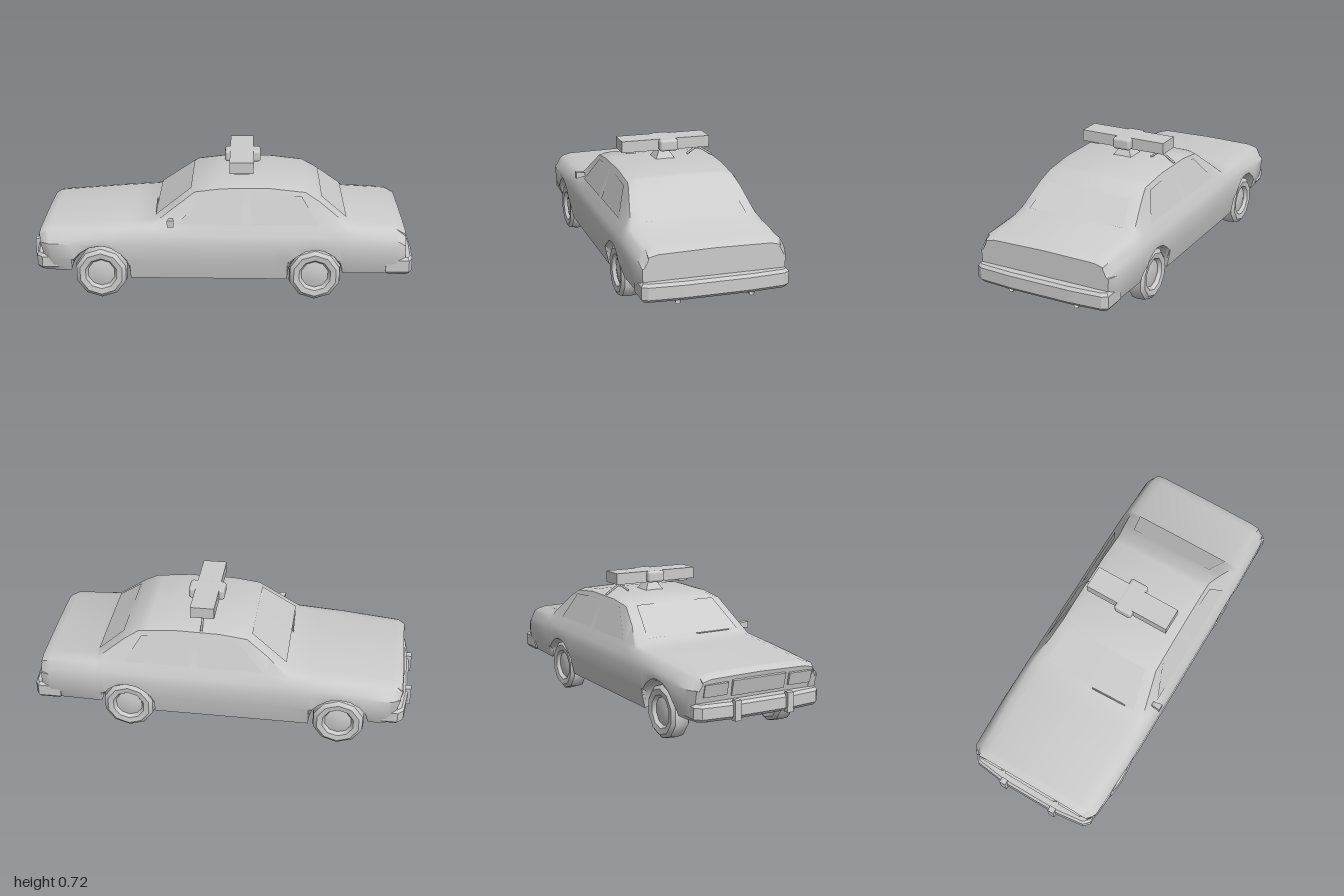
import * as THREE from 'three';
import { toCreasedNormals } from 'three/addons/utils/BufferGeometryUtils.js';
import { RoundedBoxGeometry } from 'three/addons/geometries/RoundedBoxGeometry.js';

const grey = new THREE.MeshStandardMaterial({ color: 0xcccccc, side: THREE.DoubleSide });
const WHEELS = [-0.63, 0.485], ARCHES = [0.154, 0.143], AXLE_Y = 0.143;

// Piecewise-linear profiles along the length of the car (nose at -x)
const ROOF = [[-0.95, 0.37], [-0.92, 0.39], [-0.6, 0.414], [-0.36, 0.43], [-0.14, 0.592], [0, 0.61],
  [0.25, 0.612], [0.43, 0.592], [0.5, 0.55], [0.66, 0.425], [0.9, 0.413], [0.95, 0.385]];
const EDGE = [[-0.95, 0.315], [-0.6, 0.325], [-0.36, 0.33], [-0.14, 0.282], [0.43, 0.278], [0.66, 0.33], [0.95, 0.328]];
const WIDTH = [[-0.95, 0.345], [-0.9, 0.37], [-0.6, 0.383], [0.6, 0.383], [0.9, 0.375], [0.95, 0.357]];

function lerpAt(table, x) {
  for (let i = 1; i < table.length; i++) {
    const [x0, v0] = table[i - 1], [x1, v1] = table[i];
    if (x <= x1) return v0 + (v1 - v0) * Math.max(0, (x - x0) / (x1 - x0));
  }
  return table[table.length - 1][1];
}

function mesh(name, geo, x = 0, y = 0, z = 0) {
  const m = new THREE.Mesh(geo, grey);
  m.name = name;
  m.position.set(x, y, z);
  return m;
}
const box = (name, w, h, d, x, y, z) => mesh(name, new THREE.BoxGeometry(w, h, d), x, y, z);

// Skins closed rings of [x, y, z] points and caps both ends
function loft(rings, crease) {
  const n = rings[0].length, index = [];
  for (let i = 0; i < rings.length - 1; i++) {
    for (let j = 0; j < n; j++) {
      const a = i * n + j, b = i * n + (j + 1) % n;
      index.push(a, a + n, b, b, a + n, b + n);
    }
  }
  const last = (rings.length - 1) * n;
  for (let j = 1; j < n - 1; j++) index.push(0, j, j + 1, last, last + j + 1, last + j);
  const geo = new THREE.BufferGeometry();
  geo.setAttribute('position', new THREE.Float32BufferAttribute(rings.flat(2), 3));
  geo.setIndex(index);
  return toCreasedNormals(geo, crease);
}

// Lower edge and underside height, following the wheel arches
function underside(x) {
  for (let i = 0; i < 2; i++) {
    const d = Math.abs(x - WHEELS[i]), r = ARCHES[i];
    if (d < r) {
      const y = AXLE_Y + Math.sqrt(r * r - d * d);
      return [y, y + 0.005];
    }
  }
  if (x > WHEELS[0] && x < WHEELS[1]) return [0.123, 0.135];
  return Math.abs(x) > 0.94 ? [0.165, 0.165] : [0.16, 0.25];
}

function bodyRing(x) {
  const top = lerpAt(ROOF, x), edge = lerpAt(EDGE, x), w = lerpAt(WIDTH, x);
  const [yb, yf] = underside(x);
  const belt = Math.min(0.402, top - 0.028);
  const half = [
    [yf, w - 0.055], [yb, w - 0.026], [Math.max(0.23, yb + 0.01), w - 0.003], [0.315, w],
    [belt - 0.04, w - 0.01], [belt, w * 0.915], [top - 0.017, edge], [top - 0.005, edge * 0.85],
  ];
  // The nose face leans back below the hood lip
  const lean = Math.max(0, (-0.8 - x) / 0.15);
  const point = (y, z) => [x + lean * 0.25 * Math.max(0, 0.34 - y), y, z];
  const left = half.map(([y, z]) => point(y, z));
  const right = half.map(([y, z]) => point(y, -z)).reverse();
  return [...left, [x, top, 0], ...right];
}

function buildBody() {
  const xs = new Set([...ROOF, ...EDGE, ...WIDTH].map(p => p[0]));
  [-0.25, 0.1, 0.58].forEach(x => xs.add(x));
  WHEELS.forEach((cx, i) => {
    for (const k of [0, 0.37, 0.69, 0.9, 0.985, 1.012]) xs.add(cx - k * ARCHES[i]).add(cx + k * ARCHES[i]);
  });
  return mesh('body', loft([...xs].sort((a, b) => a - b).map(bodyRing), 0.75));
}

// Thin flat pane through four corners
function pane(name, corners) {
  const geo = new THREE.BufferGeometry();
  geo.setAttribute('position', new THREE.Float32BufferAttribute(corners.flat(), 3));
  geo.setIndex([0, 1, 2, 0, 2, 3]);
  geo.computeVertexNormals();
  return mesh(name, geo);
}

function buildWindows() {
  const g = new THREE.Group();
  g.name = 'windows';
  const sideZ = y => 0.354 - (y - 0.4) * 0.37;
  const sides = {
    frontDoorWindow: [[-0.23, 0.42], [0.11, 0.42], [0.11, 0.575], [-0.09, 0.565]],
    rearDoorWindow: [[0.15, 0.42], [0.5, 0.42], [0.41, 0.56], [0.15, 0.575]],
  };
  for (const s of [1, -1]) {
    for (const [name, pts] of Object.entries(sides)) {
      g.add(pane(name, pts.map(([x, y]) => [x, y, s * sideZ(y)])));
    }
    g.add(pane('windshield', [[-0.345, 0.446, 0], [-0.345, 0.443, s * 0.27], [-0.16, 0.58, s * 0.23], [-0.16, 0.582, 0]]));
    g.add(pane('rearWindow', [[0.645, 0.442, 0], [0.645, 0.439, s * 0.27], [0.515, 0.54, s * 0.235], [0.515, 0.543, 0]]));
  }
  return g;
}

function buildWheel(x, side) {
  const profile = [[0, -0.045], [0.08, -0.045], [0.115, -0.052], [0.135, -0.037], [0.14, 0], [0.135, 0.035],
    [0.115, 0.05], [0.085, 0.046], [0.072, 0.028], [0.035, 0.036], [0, 0.036]];
  const geo = new THREE.LatheGeometry(profile.map(p => new THREE.Vector2(...p)), 10);
  geo.rotateX(Math.PI / 2);
  const w = mesh(x < 0 ? 'frontWheel' : 'rearWheel', toCreasedNormals(geo, 0.75), x, AXLE_Y, side * 0.313);
  if (side < 0) w.rotation.y = Math.PI;
  return w;
}

// Bumper bar wrapping round the corners: outline in plan, extruded upwards
function bumper(name, end, outer, sweep, halfW, y, h) {
  const pts = [[0.85, halfW], [outer - sweep, halfW], [outer - sweep * 0.4, halfW * 0.92], [outer, halfW * 0.45]];
  const all = [...pts, ...pts.map(([x, z]) => [x, -z]).reverse()];
  const shape = new THREE.Shape(all.map(([x, z]) => new THREE.Vector2(end * x, z)));
  const geo = new THREE.ExtrudeGeometry(shape, {
    depth: h - 0.03, bevelEnabled: true, bevelSize: 0.012, bevelThickness: 0.015, bevelOffset: -0.012, bevelSegments: 1,
  });
  geo.rotateX(-Math.PI / 2);
  return mesh(name, geo, 0, y + 0.015, 0);
}

// Rod with straight runs between its points
function rod(name, points, r) {
  const path = new THREE.CurvePath();
  const pts = points.map(p => new THREE.Vector3(...p));
  for (let i = 1; i < pts.length; i++) path.add(new THREE.LineCurve3(pts[i - 1], pts[i]));
  return mesh(name, new THREE.TubeGeometry(path, 12, r, 6, false));
}

function buildLightBar() {
  const g = new THREE.Group();
  g.name = 'roofLightBar';
  g.add(box('lightBar', 0.125, 0.06, 0.475, 0.1, 0.688, -0.003));
  g.add(mesh('centreSpeaker', new RoundedBoxGeometry(0.19, 0.062, 0.1, 2, 0.015), 0.105, 0.688, -0.012));
  const stand = new THREE.CylinderGeometry(0.028, 0.075, 0.055, 4).rotateY(Math.PI / 4);
  g.add(mesh('stand', toCreasedNormals(stand, 0.5), 0.11, 0.634, 0));
  // Bracket under one end, splayed foot under the other
  g.add(box('bracket', 0.08, 0.014, 0.05, 0.1, 0.652, 0.18));
  g.add(rod('footStrut', [[0.1, 0.612, -0.14], [0.1, 0.65, -0.195], [0.1, 0.6, -0.275]], 0.006));
  return g;
}

export function createModel() {
  const car = new THREE.Group();
  car.name = 'car';
  car.add(buildBody(), buildWindows(), buildLightBar());

  // Wheels and axles
  for (const x of WHEELS) {
    for (const s of [1, -1]) car.add(buildWheel(x, s));
    car.add(rod('axle', [[x, AXLE_Y, -0.29], [x, AXLE_Y, 0.29]], 0.016));
  }
  car.add(mesh('differential', new THREE.SphereGeometry(0.035, 8, 6), WHEELS[1], AXLE_Y, 0));
  car.add(rod('driveShaft', [[-0.63, 0.15, 0], [0, 0.138, 0], [0.485, AXLE_Y, 0]], 0.012));

  // Front end: bumper, guards, grille and lamps
  car.add(bumper('frontBumper', -1, 0.985, 0.05, 0.355, 0.165, 0.085));
  car.add(box('frontValance', 0.08, 0.03, 0.5, -0.84, 0.152, 0));
  const grille = box('grille', 0.014, 0.08, 0.3, -0.942, 0.308, 0);
  grille.rotation.z = 0.245;
  car.add(grille);
  for (const s of [1, -1]) {
    car.add(box('frontBumperGuard', 0.03, 0.1, 0.035, -0.985, 0.21, s * 0.15));
    const lamp = box('headlight', 0.014, 0.065, 0.13, -0.941, 0.31, s * 0.24);
    lamp.rotation.z = 0.245;
    car.add(lamp);
    car.add(rod('suspensionArm', [[-0.63, 0.155, s * 0.12], [-0.63, 0.088, s * 0.185], [-0.63, 0.135, s * 0.27]], 0.008));
  }

  // Rear end: bumper, trailing arms and exhausts
  car.add(bumper('rearBumper', 1, 1, 0.03, 0.368, 0.158, 0.092));
  for (const s of [1, -1]) {
    car.add(rod('trailingArm', [[0.485, 0.132, s * 0.22], [0.34, 0.135, s * 0.1]], 0.01));
    car.add(rod('exhaustPipe', [[0.63, 0.17, s * 0.16], [0.76, 0.145, s * 0.18], [0.96, 0.14, s * 0.185]], 0.014));
    car.add(box('muffler', 0.15, 0.025, 0.07, 0.83, 0.145, s * 0.185));
  }

  // Door mirror and wiper
  const mirror = new THREE.CylinderGeometry(0.025, 0.015, 0.05, 4).rotateY(Math.PI / 4).rotateX(Math.PI / 2);
  car.add(mesh('doorMirror', toCreasedNormals(mirror, 0.5), -0.262, 0.437, 0.362));
  car.add(rod('wiper', [[-0.352, 0.442, 0.02], [-0.345, 0.442, 0.22]], 0.004));
  return car;
}
